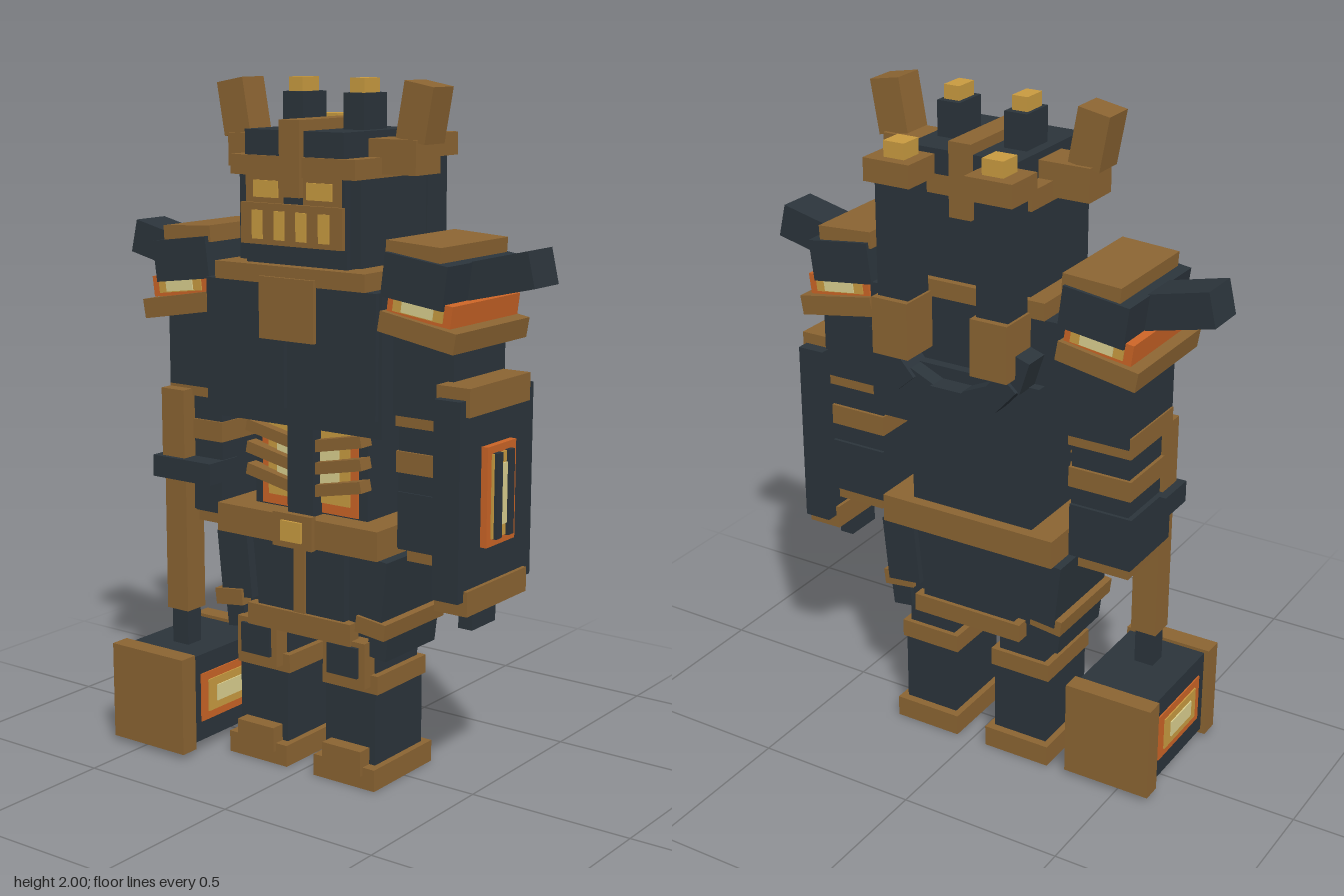
import * as THREE from 'three';

const mat = (name, color) => {
  const m = new THREE.MeshStandardMaterial({ color });
  m.name = name;
  return m;
};

export function createModel() {
  const root = new THREE.Group();
  root.name = 'armouredGolem';
  const iron = mat('darkIron', 0x2b343b);
  const bronze = mat('bronze', 0x8b6432);
  const gold = mat('gold', 0xc99b40);
  const ember = mat('emberOrange', 0xcb6426);
  const glow = mat('paleGlow', 0xdbd08f);

  // Box from x, y and z ranges, with an optional roll about its own centre
  const box = (name, m, [x0, x1], [y0, y1], [z0, z1], roll = 0) => {
    const mesh = new THREE.Mesh(new THREE.BoxGeometry(Math.abs(x1 - x0), y1 - y0, z1 - z0), m);
    mesh.position.set((x0 + x1) / 2, (y0 + y1) / 2, (z0 + z1) / 2);
    mesh.rotation.z = roll;
    mesh.name = name;
    root.add(mesh);
    return mesh;
  };
  // Box written for the +x side and mirrored to both sides
  const pair = (name, m, [x0, x1], y, z, roll = 0) => {
    box(name + 'Left', m, [x0, x1], y, z, roll);
    box(name + 'Right', m, [-x1, -x0], y, z, -roll);
  };

  // Head
  box('neck', iron, [-0.175, 0.175], [1.44, 1.56], [-0.15, 0.165]);
  box('head', iron, [-0.21, 0.21], [1.495, 1.75], [-0.165, 0.15]);
  box('face', iron, [-0.175, 0.175], [1.54, 1.75], [0.1, 0.175]);
  box('browBand', bronze, [-0.215, 0.215], [1.735, 1.79], [-0.17, 0.185]);
  box('crown', iron, [-0.17, 0.17], [1.78, 1.86], [-0.17, 0.175]);
  box('crest', bronze, [-0.035, 0.035], [1.68, 1.89], [-0.18, 0.195]);
  box('jawMask', bronze, [-0.175, 0.175], [1.545, 1.66], [0.14, 0.19]);
  for (const x of [-0.115, -0.038, 0.038, 0.115]) {
    box('tooth', gold, [x - 0.018, x + 0.018], [1.56, 1.64], [0.188, 0.194]);
  }
  pair('eyeSocket', bronze, [0.035, 0.165], [1.66, 1.735], [0.172, 0.179]);
  pair('eye', gold, [0.05, 0.135], [1.675, 1.722], [0.177, 0.184]);
  pair('hornBase', bronze, [0.17, 0.325], [1.745, 1.84], [-0.06, 0.06]);
  pair('horn', bronze, [0.265, 0.36], [1.835, 1.99], [-0.048, 0.05], -0.18);
  pair('headPipe', iron, [0.07, 0.14], [1.85, 1.96], [-0.07, 0.04]);
  pair('headPipeTip', gold, [0.082, 0.13], [1.96, 2.0], [-0.05, 0.025]);

  // Torso
  box('torso', iron, [-0.305, 0.305], [1.04, 1.44], [-0.17, 0.185]);
  pair('chestPlate', iron, [0.018, 0.295], [1.09, 1.44], [0.18, 0.2]);
  box('collar', bronze, [-0.26, 0.26], [1.44, 1.49], [-0.175, 0.203]);
  box('chestEmblem', bronze, [-0.095, 0.095], [1.285, 1.46], [0.19, 0.213]);
  box('backPlate', iron, [-0.26, 0.26], [1.065, 1.25], [-0.2, -0.16]);

  // Exhaust stacks and the segmented hose slung between them
  pair('stackBase', bronze, [0.1, 0.215], [1.29, 1.455], [-0.295, -0.165]);
  pair('stack', iron, [0.108, 0.207], [1.455, 1.78], [-0.275, -0.175]);
  pair('stackCap', bronze, [0.085, 0.23], [1.78, 1.845], [-0.295, -0.168]);
  pair('stackTip', gold, [0.12, 0.185], [1.845, 1.89], [-0.263, -0.193]);
  for (let i = -3; i <= 3; i++) {
    const a = i * 0.42;
    const x = Math.sin(a) * 0.22, y = 1.36 - Math.cos(a) * 0.18;
    box('hoseSegment', iron, [x - 0.05, x + 0.05], [y - 0.035, y + 0.035],
      i % 2 ? [-0.25, -0.165] : [-0.262, -0.165], a);
  }

  // Waist with furnace core and ribs
  box('waist', iron, [-0.2, 0.2], [0.76, 1.05], [-0.13, 0.1]);
  box('coreRim', ember, [-0.17, 0.17], [0.78, 1.03], [0.1, 0.106]);
  box('coreFire', gold, [-0.145, 0.145], [0.81, 1.02], [0.105, 0.111]);
  box('coreHeart', glow, [-0.11, 0.11], [0.85, 0.99], [0.11, 0.116]);
  box('spine', iron, [-0.045, 0.045], [0.77, 1.05], [0.1, 0.15]);
  for (const y of [0.865, 0.93, 0.995]) {
    pair('rib', bronze, [0.035, 0.205], [y - 0.017, y + 0.017], [0.09, 0.14], 0.2);
  }

  // Belt and skirt
  box('belt', bronze, [-0.285, 0.285], [0.69, 0.775], [-0.165, 0.175]);
  box('buckle', bronze, [-0.07, 0.07], [0.685, 0.785], [0.17, 0.19]);
  box('buckleGem', gold, [-0.036, 0.036], [0.705, 0.765], [0.19, 0.198]);
  box('pelvis', iron, [-0.22, 0.22], [0.46, 0.7], [-0.125, 0.125]);
  box('frontTabard', iron, [-0.155, 0.155], [0.48, 0.69], [0.12, 0.15]);
  box('tabardStripe', bronze, [-0.02, 0.02], [0.48, 0.69], [0.15, 0.157]);
  box('frontHem', bronze, [-0.185, 0.185], [0.42, 0.485], [0.12, 0.163]);
  box('backTabard', iron, [-0.155, 0.155], [0.47, 0.69], [-0.15, -0.12]);
  box('backHem', bronze, [-0.18, 0.18], [0.415, 0.47], [-0.163, -0.12]);
  pair('hipPlate', iron, [0.185, 0.295], [0.49, 0.69], [-0.145, 0.155], -0.1);
  pair('hipPlateHem', bronze, [0.205, 0.305], [0.465, 0.513], [-0.14, 0.165], -0.12);
  pair('hipPlateTip', iron, [0.225, 0.29], [0.39, 0.475], [-0.12, 0.13], -0.12);

  // Legs
  pair('thigh', iron, [0.08, 0.235], [0.33, 0.5], [-0.105, 0.105]);
  pair('kneeBand', bronze, [0.06, 0.255], [0.28, 0.335], [-0.12, 0.125]);
  pair('kneeFrame', bronze, [0.085, 0.23], [0.3, 0.435], [0.1, 0.155]);
  pair('kneePad', iron, [0.105, 0.21], [0.33, 0.42], [0.15, 0.165]);
  pair('shin', iron, [0.07, 0.245], [0.06, 0.285], [-0.115, 0.122]);
  pair('foot', bronze, [0.05, 0.265], [0, 0.065], [-0.14, 0.155]);
  pair('toeCap', bronze, [0.09, 0.225], [0.04, 0.115], [0.11, 0.167]);

  // Shoulders with glowing vents
  pair('shoulderTop', bronze, [0.305, 0.48], [1.53, 1.578], [-0.165, 0.17], -0.06);
  pair('shoulderBlock', iron, [0.305, 0.505], [1.42, 1.54], [-0.175, 0.185], -0.13);
  pair('shoulderVent', ember, [0.315, 0.52], [1.375, 1.435], [-0.165, 0.175], -0.13);
  pair('shoulderVentGold', gold, [0.335, 0.495], [1.385, 1.425], [-0.169, 0.179], -0.13);
  pair('shoulderVentGlow', glow, [0.365, 0.465], [1.388, 1.422], [-0.173, 0.183], -0.13);
  pair('shoulderRim', bronze, [0.297, 0.543], [1.318, 1.375], [-0.18, 0.193], -0.17);
  pair('shoulderSpike', iron, [0.475, 0.695], [1.445, 1.545], [-0.06, 0.065], 0.23);

  // Arms
  pair('upperArm', iron, [0.305, 0.5], [1.1, 1.36], [-0.13, 0.13]);
  pair('elbowBand', bronze, [0.31, 0.505], [1.07, 1.133], [-0.125, 0.125]);
  pair('forearm', iron, [0.315, 0.495], [0.72, 1.08], [-0.11, 0.115]);
  pair('forearmBand', bronze, [0.31, 0.505], [0.94, 1.0], [-0.12, 0.122]);
  pair('gauntlet', iron, [0.315, 0.51], [0.725, 0.885], [-0.12, 0.12]);
  pair('wristBand', bronze, [0.335, 0.495], [0.685, 0.727], [-0.1, 0.1]);

  // Hammer in the right hand
  box('fist', iron, [-0.53, -0.31], [0.82, 0.885], [0.05, 0.18]);
  box('hammerGrip', bronze, [-0.5, -0.42], [0.41, 0.85], [0.08, 0.16]);
  box('hammerPommel', bronze, [-0.505, -0.42], [0.86, 1.09], [0.08, 0.165]);
  box('hammerNeck', iron, [-0.49, -0.43], [0.29, 0.42], [0.09, 0.15]);
  box('hammerCore', iron, [-0.59, -0.34], [0.03, 0.3], [-0.1, 0.24]);
  box('hammerFaceFront', bronze, [-0.605, -0.33], [0.015, 0.31], [0.235, 0.295]);
  box('hammerFaceBack', bronze, [-0.605, -0.33], [0.015, 0.31], [-0.148, -0.09]);
  [[ember, 0.13, 0.075], [gold, 0.1, 0.05], [glow, 0.065, 0.025]].forEach(([m, hz, hy], i) => {
    const t = 0.004 * (i + 1);
    box('hammerFire', m, [-0.59 - t, -0.34 + t], [0.165 - hy, 0.165 + hy], [0.07 - hz, 0.07 + hz]);
  });

  // Shield on the left arm
  box('shield', iron, [0.492, 0.575], [0.63, 1.18], [-0.16, 0.213]);
  box('shieldTopBand', bronze, [0.482, 0.587], [1.135, 1.213], [-0.122, 0.185]);
  box('shieldBottomBand', bronze, [0.482, 0.587], [0.59, 0.66], [-0.122, 0.185]);
  box('shieldTip', iron, [0.5, 0.545], [0.52, 0.6], [-0.03, 0.09]);
  box('shieldFireRim', ember, [0.57, 0.595], [0.765, 1.043], [-0.04, 0.105]);
  box('shieldFire', gold, [0.57, 0.6], [0.787, 1.021], [-0.02, 0.085]);
  box('shieldHeart', glow, [0.57, 0.604], [0.82, 0.99], [0.015, 0.05]);
  for (const z of [0.002, 0.063]) {
    box('shieldGrate', iron, [0.57, 0.609], [0.785, 1.023], [z - 0.014, z + 0.014]);
  }
  return root;
}
